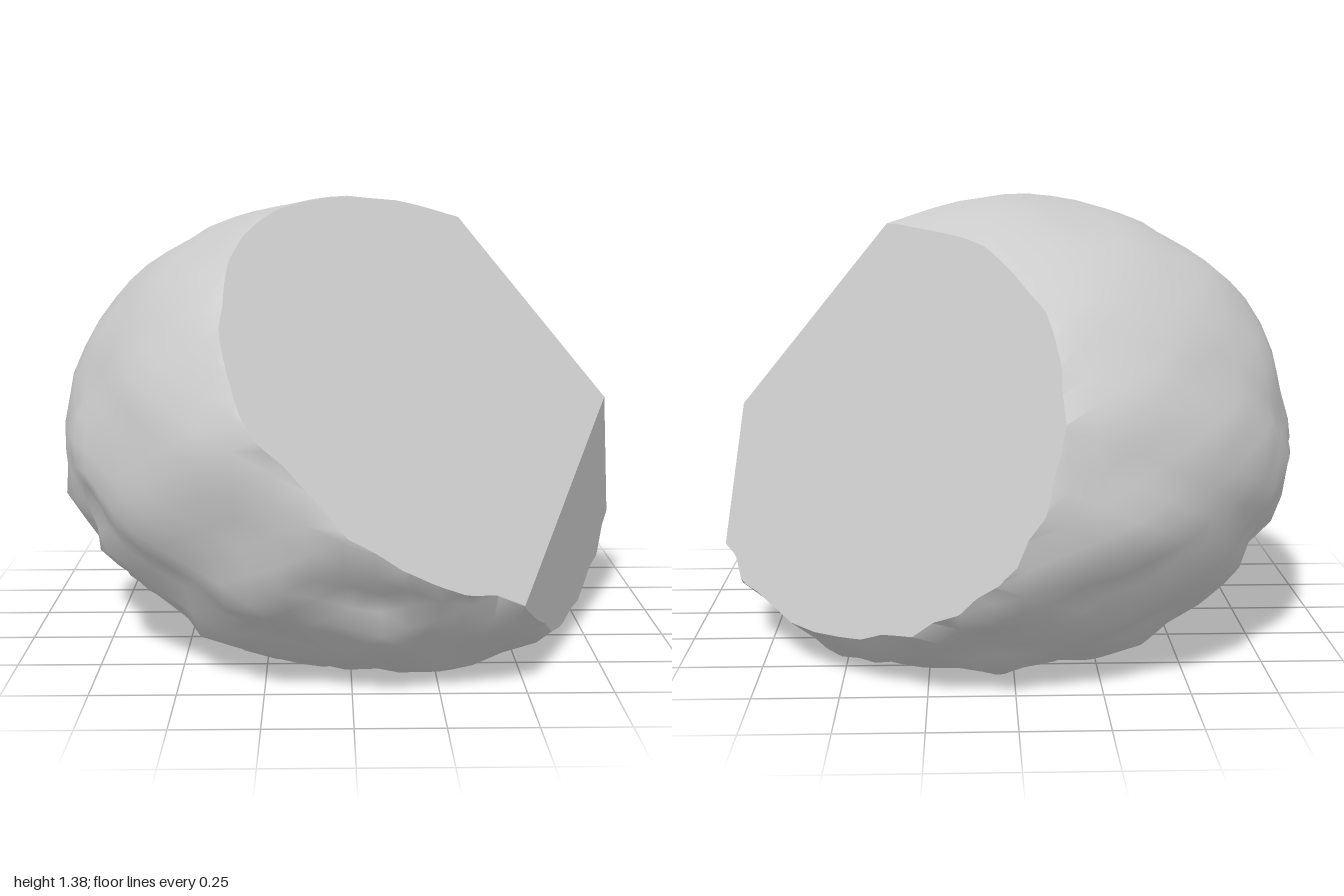
import * as THREE from 'three';
import { mergeVertices } from 'three/addons/utils/BufferGeometryUtils.js';

const material = new THREE.MeshStandardMaterial({ color: 0xcccccc, roughness: 0.9, side: THREE.DoubleSide });

// Flat faces split off the boulder: name, outward normal, distance from origin
const cuts = [
  ['largeFrontFace', [0.543, 0.622, 0.564], 0.8815],
  ['leftSideFace', [0.921, -0.028, 0.387], 0.744],
  ['backLeftFace', [0.654, 0.316, -0.688], 0.817],
  ['groundFace', [0, -1, 0], 0],
];

// Broad lumps: direction, spread, height
const lumps = [
  [[-0.46, 0.71, 0.6], 0.06, 0.05],
  [[-0.3, 0.92, 0.32], 0.03, 0.03],
  [[-0.39, 0.3, 0.9], 0.03, 0.045],
  [[-0.7, 0, 0.73], 0.05, 0.025],
  [[0.37, -0.41, 0.86], 0.02, 0.025],
  [[-0.97, 0.25, 0.1], 0.015, 0.025],
  [[-0.97, -0.2, 0.1], 0.015, 0.03],
  [[-0.72, 0.7, -0.1], 0.04, 0.03],
].map(([dir, spread, height]) => [new THREE.Vector3(...dir).normalize(), spread, height]);

// Lumpy surface, rougher towards the ground
function bump(d) {
  const wave = (f, p) =>
    Math.sin(f * d.x + 1.7 * p + 2 * d.y) * Math.sin(f * d.y + 2.3 * p - 2 * d.z) +
    Math.sin(f * d.z + 0.9 * p + 3 * d.x) * Math.cos(f * d.y + p);
  const rough = THREE.MathUtils.smoothstep(-d.y, -0.4, 0.6);
  let h = 0.005 * wave(6, 1) + (0.007 + 0.009 * rough) * wave(13, 2) + (0.004 + 0.011 * rough) * wave(23, 3);
  for (const [dir, spread, height] of lumps) h += height * Math.exp((dir.dot(d) - 1) / spread);
  return h;
}

// Triangles of the uncut boulder, its underside flatter and set to the left
function boulderTriangles() {
  const pos = new THREE.IcosahedronGeometry(1, 10).attributes.position;
  const points = [];
  for (let i = 0; i < pos.count; i++) {
    const d = new THREE.Vector3().fromBufferAttribute(pos, i).normalize();
    const r = 1 + bump(d);
    const under = Math.max(0, -d.y);
    points.push(new THREE.Vector3(
      0.05 + 0.055 * under + 0.945 * r * d.x,
      0.6 + (d.y > 0 ? 0.775 : 0.735) * r * d.y,
      0.99 * r * d.z,
    ));
  }
  const tris = [];
  for (let i = 0; i < points.length; i += 3) tris.push(points.slice(i, i + 3));
  return tris;
}

// Keep the part of each triangle behind the plane; collect the cut edges in rim
function clip(tris, normal, dist, rim) {
  const kept = [];
  for (const tri of tris) {
    const side = tri.map((p) => normal.dot(p) - dist);
    const poly = [];
    let exit = null, enter = null;
    for (let i = 0; i < 3; i++) {
      const j = (i + 1) % 3;
      if (side[i] <= 0) poly.push(tri[i]);
      if ((side[i] <= 0) !== (side[j] <= 0)) {
        const q = tri[i].clone().lerp(tri[j], side[i] / (side[i] - side[j]));
        poly.push(q);
        if (side[i] <= 0) exit = q;
        else enter = q;
      }
    }
    for (let i = 2; i < poly.length; i++) kept.push([poly[0], poly[i - 1], poly[i]]);
    if (exit) rim.push([enter, exit]);
  }
  return kept;
}

function toGeometry(tris) {
  const geometry = new THREE.BufferGeometry().setFromPoints(tris.flat());
  const merged = mergeVertices(geometry, 1e-4);
  merged.computeVertexNormals();
  return merged;
}

export function createModel() {
  const group = new THREE.Group();
  group.name = 'boulder';
  const parts = [{ name: 'roughSurface', tris: boulderTriangles() }];

  // Slice every existing part, then close the opening with a fan
  for (const [name, n, dist] of cuts) {
    const normal = new THREE.Vector3(...n);
    const length = normal.length();
    normal.divideScalar(length);
    const rim = [];
    for (const part of parts) part.tris = clip(part.tris, normal, dist / length, rim);
    const centre = new THREE.Vector3();
    rim.forEach(([a, b]) => centre.add(a).add(b));
    centre.divideScalar(rim.length * 2);
    parts.push({ name, tris: rim.map(([a, b]) => [centre, a, b]) });
  }

  for (const { name, tris } of parts) {
    const mesh = new THREE.Mesh(toGeometry(tris), material);
    mesh.name = name;
    group.add(mesh);
  }
  return group;
}
